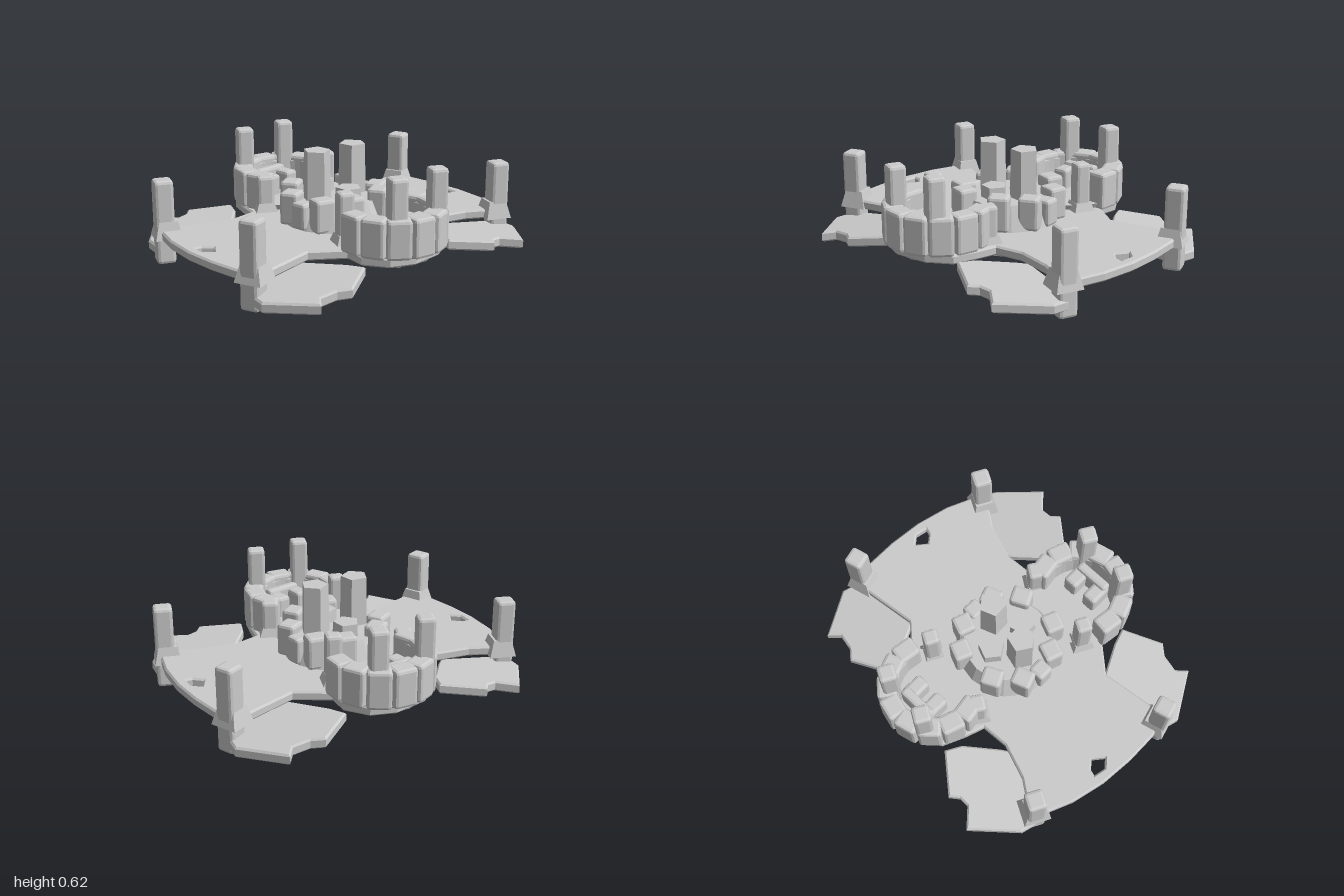
import * as THREE from 'three';
import { RoundedBoxGeometry } from 'three/addons/geometries/RoundedBoxGeometry.js';

const material = new THREE.MeshStandardMaterial({ color: 0xcccccc, flatShading: true });

function addMesh(group, geometry, name) {
  const mesh = new THREE.Mesh(geometry, material);
  mesh.name = name;
  group.add(mesh);
  return mesh;
}

// Slab from an outline of [x, z] points, its top at the given height
function slab(points, top, thickness, holes = [], bevel = 0.01) {
  const shape = new THREE.Shape(points.map(([x, z]) => new THREE.Vector2(x, z)));
  for (const hole of holes) shape.holes.push(new THREE.Path(hole.map(([x, z]) => new THREE.Vector2(x, z))));
  const g = new THREE.ExtrudeGeometry(shape, {
    depth: thickness - 2 * bevel, bevelEnabled: bevel > 0, bevelThickness: bevel,
    bevelSize: bevel, bevelOffset: -bevel, bevelSegments: 1,
  });
  g.rotateX(Math.PI / 2);
  g.translate(0, top - bevel, 0);
  return g;
}

// Softened upright block between two heights
function block(group, name, x, z, w, d, y0, y1, angle = 0) {
  const mesh = addMesh(group, new RoundedBoxGeometry(w, y1 - y0, d, 1, 0.018), name);
  mesh.position.set(x, (y0 + y1) / 2, z);
  mesh.rotation.y = angle;
}

// Four-sided flare where a post meets the deck, or a tapered foot
function taper(group, name, x, z, rTop, rBottom, y0, y1, angle = 0, sides = 4) {
  const mesh = addMesh(group, new THREE.CylinderGeometry(rTop, rBottom, y1 - y0, sides), name);
  mesh.position.set(x, (y0 + y1) / 2, z);
  mesh.rotation.y = angle + Math.PI / 4;
}

const RING = { x: 0.105, z: -0.5 };
const ringPoint = (a, r) => [RING.x + Math.sin(a) * r, RING.z - Math.cos(a) * r];

// Everything that repeats after half a turn
function buildHalf() {
  const half = new THREE.Group();

  // Tilted flaps, lower toward the outside
  const flaps = {
    notchedFlap: [[-0.80, -0.71], [-0.57, -0.92], [-0.48, -0.82], [-0.42, -0.82], [-0.37, -0.86],
      [-0.17, -0.69], [-0.22, -0.60], [-0.39, -0.46], [-0.45, -0.42], [-0.84, -0.57]],
    sideFlap: [[0.40, -0.57], [0.63, -0.68], [0.69, -0.63], [0.79, -0.61], [0.85, -0.665],
      [1.0, -0.40], [0.96, -0.26], [0.55, -0.22], [0.43, -0.47]],
  };
  for (const [name, points] of Object.entries(flaps)) {
    const g = slab(points, 0, 0.06);
    const p = g.attributes.position;
    for (let i = 0; i < p.count; i++) p.setY(i, p.getY(i) + 0.195 - 0.11 * Math.abs(p.getX(i)));
    g.computeVertexNormals();
    addMesh(half, g, name);
  }

  // Corner posts running through the deck
  for (const [x, z, a] of [[-0.78, -0.59, -0.5], [0.935, -0.28, 0.25]]) {
    block(half, 'cornerPost', x, z, 0.108, 0.108, 0, 0.485, a);
    taper(half, 'postFlare', x * 0.985, z * 0.985, 0.075, 0.11, 0.15, 0.25, a);
  }

  // Horseshoe wall, open toward the middle
  const outer = [], inner = [];
  const span = 1.85, steps = 12;
  for (let i = 0; i <= steps; i++) {
    const a = -span + (2 * span * i) / steps;
    outer.push(ringPoint(a, 0.28));
    inner.unshift(ringPoint(a, 0.195));
  }
  addMesh(half, slab([...outer, ...inner], 0.395, 0.22, [], 0.02), 'horseshoeWall');
  for (let i = 0; i < 8; i++) {
    const a = -1.72 + (3.44 * i) / 7;
    const [x, z] = ringPoint(a, 0.25);
    block(half, 'wallBlock', x, z, 0.135, 0.115, 0.19, 0.41, -a);
  }

  // Cup floor and the tapered underside below it
  const floor = addMesh(half, new THREE.CylinderGeometry(0.28, 0.24, 0.09, 16), 'cupFloor');
  floor.position.set(RING.x, 0.185, RING.z);
  for (const a of [-0.7, 0.7]) {
    const [x, z] = ringPoint(a, 0.17);
    taper(half, 'cupKnob', x, z, 0.06, 0.04, 0.12, 0.16, a, 6);
  }

  // Paired seats joined at the back
  for (const x of [0.025, 0.17]) block(half, 'seatBlock', x, -0.57, 0.09, 0.14, 0.2, 0.35);
  block(half, 'seatBridge', 0.097, -0.625, 0.22, 0.06, 0.2, 0.37);

  // Tall towers on the wall, shorter ones at its open ends
  block(half, 'tallTower', -0.035, -0.70, 0.10, 0.10, 0.2, 0.625, -0.55);
  block(half, 'tallTower', 0.265, -0.665, 0.10, 0.10, 0.2, 0.625, -0.5);
  block(half, 'gateTower', 0.285, -0.325, 0.09, 0.09, 0.15, 0.485, -0.5);
  block(half, 'gateTower', -0.16, -0.405, 0.10, 0.09, 0.15, 0.41, -0.6);
  taper(half, 'gateFlare', 0.285, -0.325, 0.065, 0.10, 0.18, 0.25, -0.5);
  taper(half, 'gateFlare', -0.16, -0.405, 0.065, 0.10, 0.18, 0.25, -0.6);

  // Half of the middle cluster
  taper(half, 'middleTower', -0.13, -0.02, 0.078, 0.085, 0.2, 0.625, 0.2, 5);
  taper(half, 'innerBlock', 0.01, -0.115, 0.075, 0.085, 0.2, 0.41, 0.1, 5);
  block(half, 'clusterBlock', -0.11, -0.235, 0.12, 0.11, 0.2, 0.405, 0.45);
  block(half, 'clusterBlock', 0.13, -0.24, 0.12, 0.11, 0.2, 0.405, -0.4);
  block(half, 'clusterBlock', -0.235, -0.115, 0.12, 0.11, 0.2, 0.39, 0.35);
  block(half, 'clusterBlock', 0.235, -0.115, 0.12, 0.11, 0.2, 0.39, -0.35);
  block(half, 'sideBlock', 0.265, 0, 0.10, 0.10, 0.2, 0.355);

  // Foot under the middle
  taper(half, 'foot', -0.025, -0.11, 0.095, 0.07, 0.005, 0.15, 0.15, 6);
  return half;
}

export function createModel() {
  const model = new THREE.Group();

  // Deck outline: one half, then the same half turned around
  const halfOutline = [[0.92, -0.33], [0.97, -0.2], [0.97, 0], [0.95, 0.2], [0.90, 0.4], [0.83, 0.56],
    [0.74, 0.6], [0.60, 0.50], [0.40, 0.43], [0.24, 0.44], [0.20, 0.55], [0.14, 0.68], [0, 0.75],
    [-0.20, 0.75], [-0.33, 0.68], [-0.40, 0.54], [-0.37, 0.42], [-0.53, 0.28]];
  const outline = [...halfOutline, ...halfOutline.map(([x, z]) => [-x, -z])];
  const hole = [[0.86, 0.09], [0.90, 0.14], [0.885, 0.21], [0.85, 0.20], [0.81, 0.15]];
  const holes = [hole, hole.map(([x, z]) => [-x, -z])];
  addMesh(model, slab(outline, 0.2, 0.055, holes), 'deck');

  // Core of the middle cluster, and its shallow underside
  const core = addMesh(model, new THREE.CylinderGeometry(0.25, 0.315, 0.17, 18), 'clusterCore');
  core.position.y = 0.255;
  const keel = addMesh(model, new THREE.CylinderGeometry(0.32, 0.26, 0.04, 16), 'keel');
  keel.position.y = 0.145;

  const back = buildHalf();
  back.name = 'backHalf';
  const front = buildHalf();
  front.name = 'frontHalf';
  front.rotation.y = Math.PI;
  model.add(back, front);
  return model;
}
